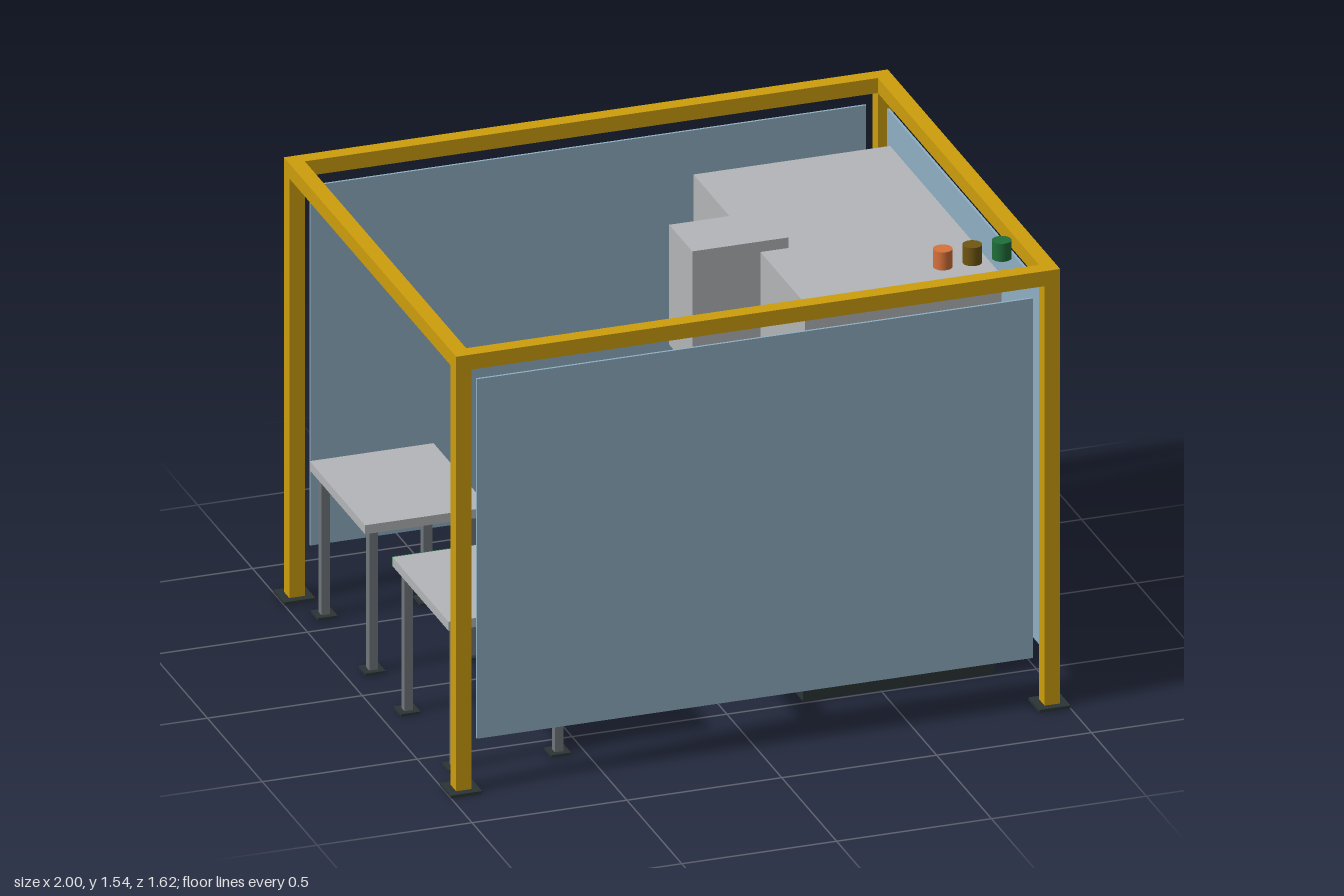
import * as THREE from 'three';

export function createModel() {
  const model = new THREE.Group();
  model.name = 'roboticMachiningCell';

  const mat = (name, color, side = THREE.FrontSide) => {
    const m = new THREE.MeshStandardMaterial({ color, side });
    m.name = name;
    return m;
  };
  const yellow = mat('frameYellow', 0xcd9e0c);
  const blue = mat('panelBlue', 0x8fafc3);
  const grey = mat('lightGrey', 0xb3b5b8);
  const dark = mat('charcoal', 0x2b3435);
  const steel = mat('legSteel', 0x71767b);
  const orange = mat('robotOrange', 0xd8723a);
  const green = mat('signalGreen', 0x1f6e3a);
  const amber = mat('signalAmber', 0x705611);

  // box from its minimum and maximum along each axis
  const box = (name, m, [x0, x1], [y0, y1], [z0, z1], parent = model) => {
    const mesh = new THREE.Mesh(new THREE.BoxGeometry(x1 - x0, y1 - y0, z1 - z0), m);
    mesh.position.set((x0 + x1) / 2, (y0 + y1) / 2, (z0 + z1) / 2);
    mesh.name = name;
    parent.add(mesh);
    return mesh;
  };
  const cylinder = (name, m, r, [y0, y1], x, z, parent = model) => {
    const mesh = new THREE.Mesh(new THREE.CylinderGeometry(r, r, y1 - y0, 32), m);
    mesh.position.set(x, (y0 + y1) / 2, z);
    mesh.name = name;
    parent.add(mesh);
    return mesh;
  };
  const around = (c, half) => [c - half, c + half];
  const group = (name) => {
    const g = new THREE.Group();
    g.name = name;
    model.add(g);
    return g;
  };

  // guard frame: posts, foot plates and top beams
  const frame = group('guardFrame');
  for (const x of [-0.95, 0.95]) {
    for (const z of [-0.76, 0.76]) {
      box('post', yellow, around(x, 0.025), [0.001, 1.41], around(z, 0.025), frame);
      box('postFoot', dark, around(x, 0.05), [0, 0.01], around(z, 0.05), frame);
    }
    box('sideBeam', yellow, around(x, 0.025), [1.41, 1.46], [-0.735, 0.735], frame);
  }
  for (const z of [-0.76, 0.76]) {
    box('longBeam', yellow, [-0.975, 0.975], [1.41, 1.46], around(z, 0.025), frame);
    box('longPanel', blue, [-0.9, 0.895], [0.165, 1.365], around(z, 0.004), frame);
  }
  box('sidePanel', blue, around(0.95, 0.004), [0.165, 1.365], [-0.71, 0.71], frame);

  // machining centre with its spindle head, table and control screen
  const machine = group('machine');
  box('machinePlinth', dark, [0.25, 0.87], [0, 0.055], [-0.495, 0.49], machine);
  box('machineBody', grey, [0.25, 0.885], [0.055, 1.335], [-0.51, 0.505], machine);
  box('tableBase', dark, [-0.03, 0.25], [0, 0.5], [-0.16, 0.155], machine);
  box('workTable', grey, [-0.01, 0.25], [0.5, 0.55], [-0.135, 0.13], machine);
  box('spindleHead', grey, [0.03, 0.34], [0.97, 1.37], [-0.11, 0.1], machine);
  box('controlPanel', dark, [0.237, 0.25], [0.79, 0.985], [0.22, 0.47], machine);
  box('controlScreen', steel, [0.234, 0.237], [0.82, 0.955], [0.25, 0.44], machine);

  // loading robot
  const robot = group('robot');
  cylinder('robotBase', dark, 0.11, [0, 0.22], -0.35, 0, robot);
  cylinder('robotColumn', orange, 0.06, [0.22, 0.945], -0.35, 0, robot);
  box('robotArm', orange, [-0.35, 0.1], [0.87, 0.93], [-0.03, 0.03], robot);

  // part tables
  for (const [z0, z1] of [[-0.635, -0.13], [0.12, 0.63]]) {
    const table = group('partTable');
    box('tableTop', grey, [-0.945, -0.545], [0.475, 0.505], [z0, z1], table);
    for (const x of [-0.91, -0.58]) {
      for (const z of [z0 + 0.035, z1 - 0.035]) {
        box('tableLeg', steel, around(x, 0.014), [0.008, 0.475], around(z, 0.014), table);
        box('tableFoot', dark, around(x, 0.032), [0, 0.008], around(z, 0.032), table);
      }
    }
    if (z0 > 0) {
      box('tableFence', yellow, [-0.57, -0.545], [0.505, 0.562], [z0, z1], table);
      box('tableEdgeStrip', green, [-0.945, -0.545], [0.475, 0.505], [z0 - 0.004, z0], table);
    }
  }

  // signal lamps
  const lamps = group('signalLamps');
  [orange, amber, green].forEach((m, i) =>
    cylinder('signalLamp', m, 0.03, [1.48, 1.54], 0.63 + i * 0.095, 0.69, lamps));

  return model;
}
